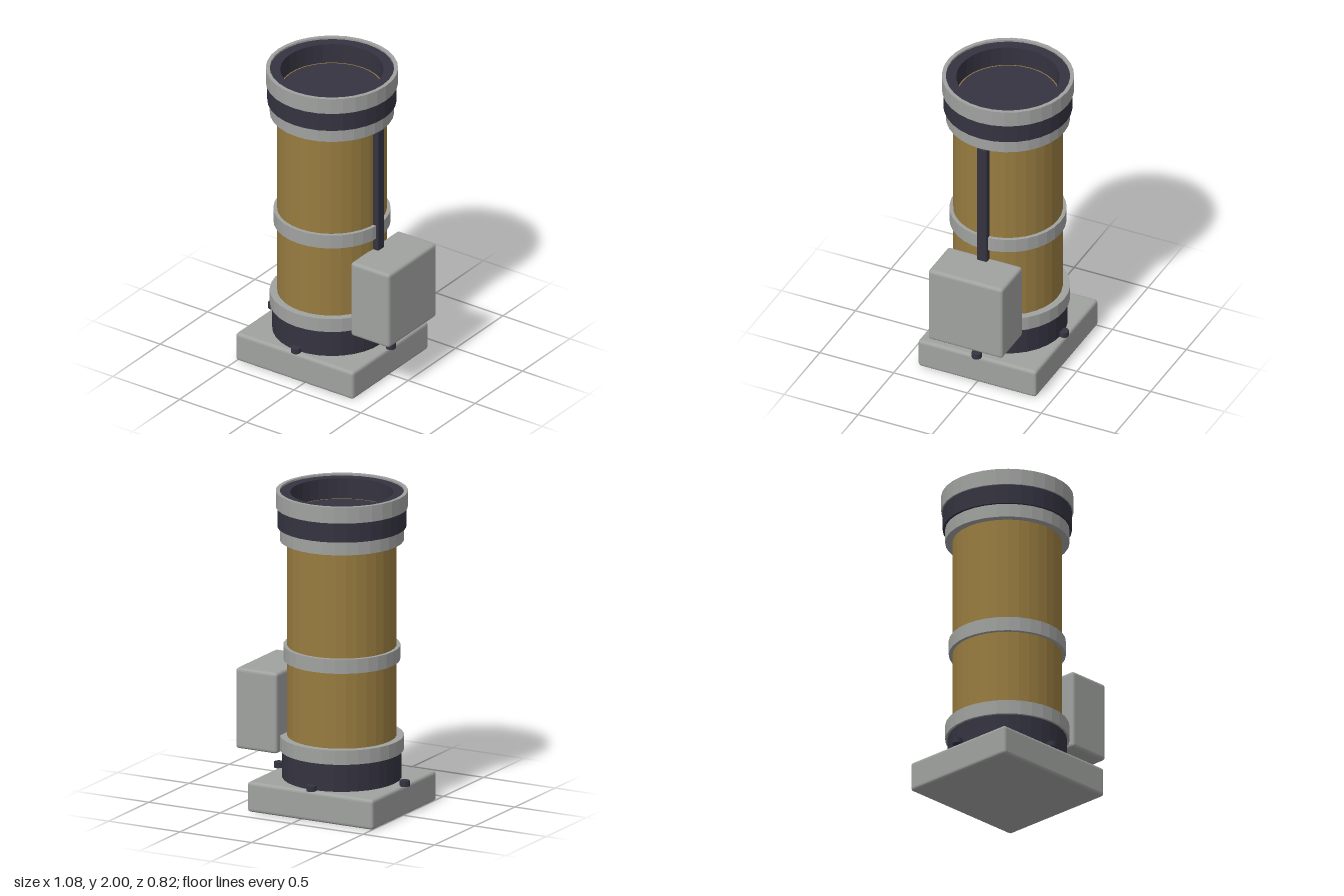
import * as THREE from 'three';
import { RoundedBoxGeometry } from 'three/addons/geometries/RoundedBoxGeometry.js';

const SIDES = 32;
const AXIS_X = -0.07; // the tube stands slightly off centre

function material(name, color, flat = true) {
  const m = new THREE.MeshStandardMaterial({ color, flatShading: flat });
  m.name = name;
  return m;
}

export function createModel() {
  const model = new THREE.Group();
  model.name = 'tubeAssembly';
  const grey = material('grey metal', 0xa0a2a0);
  const brass = material('brass', 0x987c40);
  const dark = material('dark metal', 0x343340);

  function add(name, geometry, mat, x, y, z) {
    const mesh = new THREE.Mesh(geometry, mat);
    mesh.name = name;
    mesh.position.set(x, y, z);
    model.add(mesh);
    return mesh;
  }

  // Solid upright drum between two heights
  function drum(name, r, y0, y1, mat) {
    add(name, new THREE.CylinderGeometry(r, r, y1 - y0, SIDES), mat, AXIS_X, (y0 + y1) / 2, 0);
  }

  // Surface turned around the tube axis; points are [radius, height]
  function turned(name, points, mat) {
    const profile = points.map(([r, y]) => new THREE.Vector2(r, y));
    add(name, new THREE.LatheGeometry(profile, SIDES), mat, AXIS_X, 0, 0);
  }

  function box(name, x0, x1, y0, y1, depth) {
    const g = new RoundedBoxGeometry(x1 - x0, y1 - y0, depth, 2, 0.02);
    add(name, g, grey, (x0 + x1) / 2, (y0 + y1) / 2, 0);
  }

  // Base plate and side housing
  box('basePlate', -0.51, 0.37, 0, 0.19, 0.8);
  box('sideHousing', 0.245, 0.535, 0.345, 0.855, 0.505);

  // Foot, tube and bands
  drum('tubeFoot', 0.365, 0.18, 0.37, dark);
  drum('mainTube', 0.335, 0.4, 1.74, brass);
  drum('lowerBand', 0.38, 0.365, 0.455, grey);
  drum('middleBand', 0.358, 0.935, 1.025, grey);
  drum('upperBand', 0.38, 1.69, 1.78, grey);

  // Dark collar with the recessed bore
  turned('collar', [
    [0.3, 1.775], [0.395, 1.775], [0.395, 1.9], [0.38, 1.9],
    [0.38, 1.988], [0.316, 1.988], [0.316, 1.86],
  ], dark);
  turned('boreSeat', [[0.316, 1.86], [0.309, 1.86]], brass);
  turned('boreFloor', [[0.309, 1.86], [0, 1.86]], dark);

  // Open rim around the mouth
  turned('mouthRim', [
    [0.38, 1.898], [0.404, 1.898], [0.404, 2], [0.38, 2], [0.38, 1.898],
  ], grey);

  // Conduit from the housing up to the upper band
  add('conduit', new RoundedBoxGeometry(0.06, 0.86, 0.068, 1, 0.008), dark, 0.27, 1.25, 0);

  // Four bolts on the base plate
  for (const [x, z] of [[-0.44, 0], [0.44, 0], [0, 0.378], [0, -0.378]]) {
    add('baseBolt', new THREE.CylinderGeometry(0.031, 0.031, 0.035, 16), dark, AXIS_X + x, 0.205, z);
  }

  return model;
}
